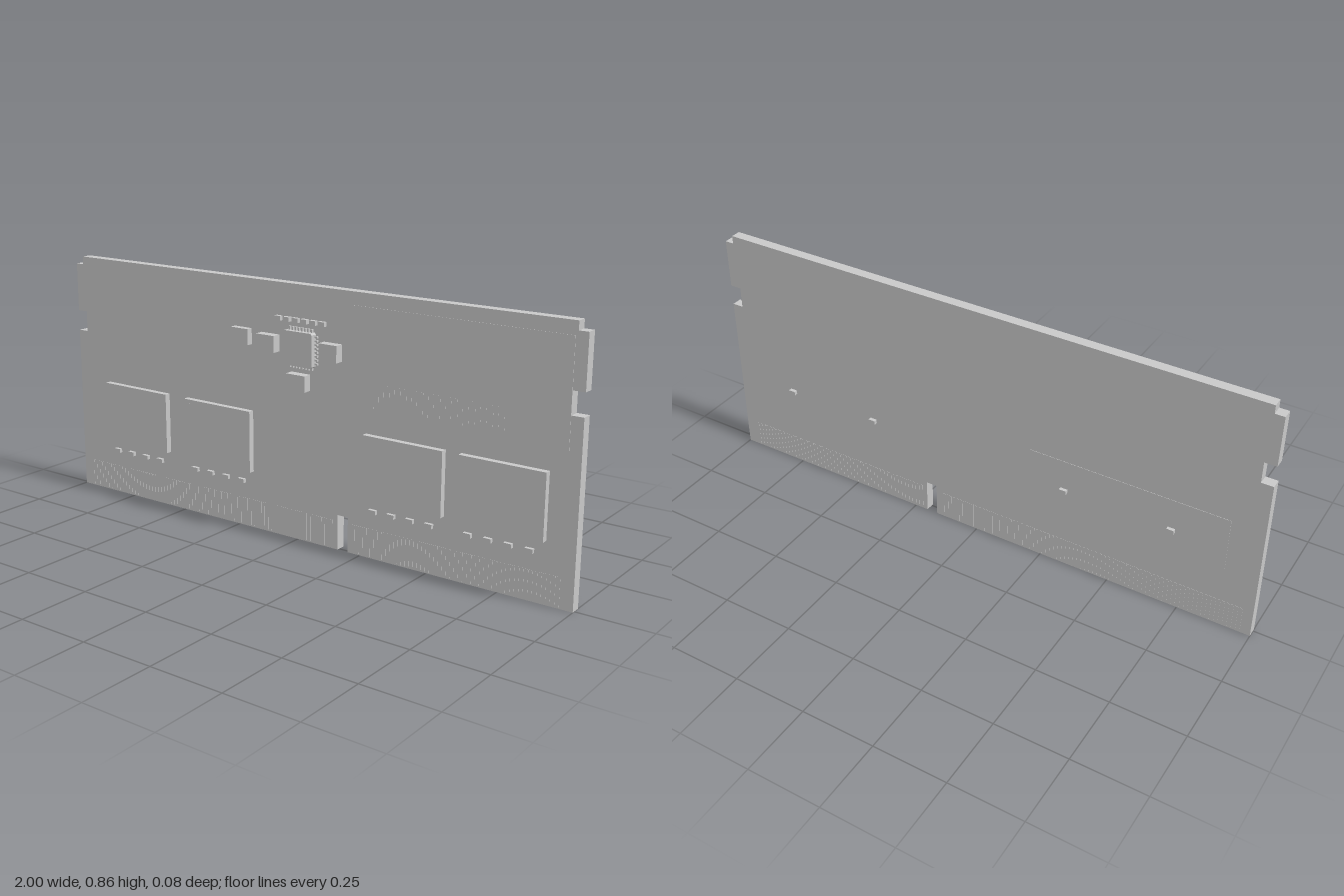
import * as THREE from 'three';
import { mergeGeometries } from 'three/addons/utils/BufferGeometryUtils.js';

const FRONT = 0.009, BACK = -0.026;

// Box from its limits on each axis
function box(x0, x1, y0, y1, z0, z1) {
  const g = new THREE.BoxGeometry(x1 - x0, y1 - y0, z1 - z0);
  return g.translate((x0 + x1) / 2, (y0 + y1) / 2, (z0 + z1) / 2);
}

// Box centred on a point of the board plane
function pad(x, y, w, h, z0, z1) {
  return box(x - w / 2, x + w / 2, y - h / 2, y + h / 2, z0, z1);
}

// Extruded outline between two depths
function slab(points, z0, z1) {
  const shape = new THREE.Shape(points.map(p => new THREE.Vector2(...p)));
  const g = new THREE.ExtrudeGeometry(shape, { depth: z1 - z0, bevelEnabled: false });
  return g.translate(0, 0, z0);
}

export function createModel() {
  const group = new THREE.Group();
  const grey = new THREE.MeshStandardMaterial({ color: 0xc8c8c8 });
  grey.name = 'light grey';

  const add = (name, ...geometries) => {
    const mesh = new THREE.Mesh(geometries.length > 1 ? mergeGeometries(geometries) : geometries[0], grey);
    mesh.name = name;
    group.add(mesh);
  };

  // Circuit board with side notches, stepped top corners and key slot
  const side = [[1, 0], [1, 0.59], [0.96, 0.59], [0.96, 0.663], [1, 0.663], [1, 0.835], [0.968, 0.835], [0.968, 0.863]];
  const mirrored = side.map(([x, y]) => [-x, y]).reverse();
  const slot = [[0.162, 0], [0.162, 0.12], [0.202, 0.12], [0.202, 0]];
  add('circuitBoard', slab([...side, ...mirrored, ...slot], BACK, FRONT));

  // Edge contacts on both faces, either side of the slot
  const contacts = [];
  for (const [start, end] of [[-0.96, 0.145], [0.225, 0.965]]) {
    for (let x = start; x < end; x += 0.0148) {
      contacts.push(pad(x, 0.052, 0.0104, 0.095, FRONT - 0.002, FRONT + 0.0008));
      contacts.push(pad(x, 0.052, 0.0104, 0.095, BACK - 0.0008, BACK + 0.002));
    }
  }
  add('edgeContacts', ...contacts);

  // Four memory chips on solder balls, with capacitors below and behind
  for (const cx of [-0.705, -0.329, 0.416, 0.761]) {
    add('memoryChip', pad(cx, 0.31, 0.29, 0.214, 0.013, 0.034));
    const dot = new THREE.CylinderGeometry(0.006, 0.006, 0.001, 12).rotateX(Math.PI / 2);
    add('chipCornerDot', dot.translate(cx - 0.125, 0.398, 0.0338));

    const balls = [];
    for (const y of [0.231, 0.283, 0.335, 0.386]) {
      for (let i = 0; i < 6; i++) {
        balls.push(pad(cx - 0.115 + i * 0.046, y, 0.014, 0.014, FRONT - 0.001, 0.0135));
      }
    }
    add('solderBalls', ...balls);

    add('chipCapacitors', ...[-0.115, -0.046, 0.023, 0.093].map(
      dx => pad(cx + dx, 0.162, 0.027, 0.014, FRONT - 0.001, 0.021)));
    add('rearCapacitor', pad(cx, 0.304, 0.025, 0.014, -0.039, BACK + 0.001));
  }

  // Controller chip with clipped corners and legs on all four sides
  const [x0, x1, y0, y1, c] = [-0.043, 0.072, 0.6, 0.714, 0.005];
  add('controllerChip', slab([
    [x0 + c, y0], [x1 - c, y0], [x1, y0 + c], [x1, y1 - c],
    [x1 - c, y1], [x0 + c, y1], [x0, y1 - c], [x0, y0 + c],
  ], FRONT - 0.001, 0.033));
  const legs = [];
  for (let i = 0; i < 8; i++) {
    const d = -0.044 + i * 0.0126;
    legs.push(pad(0.0145 + d, 0.657, 0.006, 0.136, FRONT - 0.001, 0.017));
    legs.push(pad(0.0145, 0.657 + d, 0.136, 0.006, FRONT - 0.001, 0.017));
  }
  add('controllerLegs', ...legs);

  // Power parts around the controller
  add('powerBlocks',
    box(-0.148, -0.075, 0.634, 0.69, FRONT - 0.001, 0.04),
    box(0.104, 0.173, 0.634, 0.69, FRONT - 0.001, 0.04),
    box(-0.025, 0.049, 0.52, 0.574, FRONT - 0.001, 0.04));
  add('regulator', box(-0.261, -0.19, 0.643, 0.697, FRONT - 0.001, 0.032));

  // Row of small capacitors above the controller
  const row = [];
  for (let i = 0; i < 6; i++) {
    row.push(pad(-0.073 + i * 0.0348, 0.747, 0.024, 0.015, FRONT - 0.001, 0.023));
  }
  add('upperCapacitors', ...row);

  // Thin labels on both faces, with bars on the front one
  add('frontLabel', box(0.215, 0.96, 0.478, 0.82, FRONT - 0.001, 0.0103));
  add('rearLabel', box(-0.89, -0.2, 0.217, 0.417, -0.0272, BACK + 0.001));
  const bars = [];
  for (let i = 0; i < 24; i++) {
    bars.push(pad(0.29 + i * 0.02, 0.54, i % 3 ? 0.006 : 0.01, 0.08, 0.0098, 0.0108));
  }
  add('labelBars', ...bars);

  return group;
}
